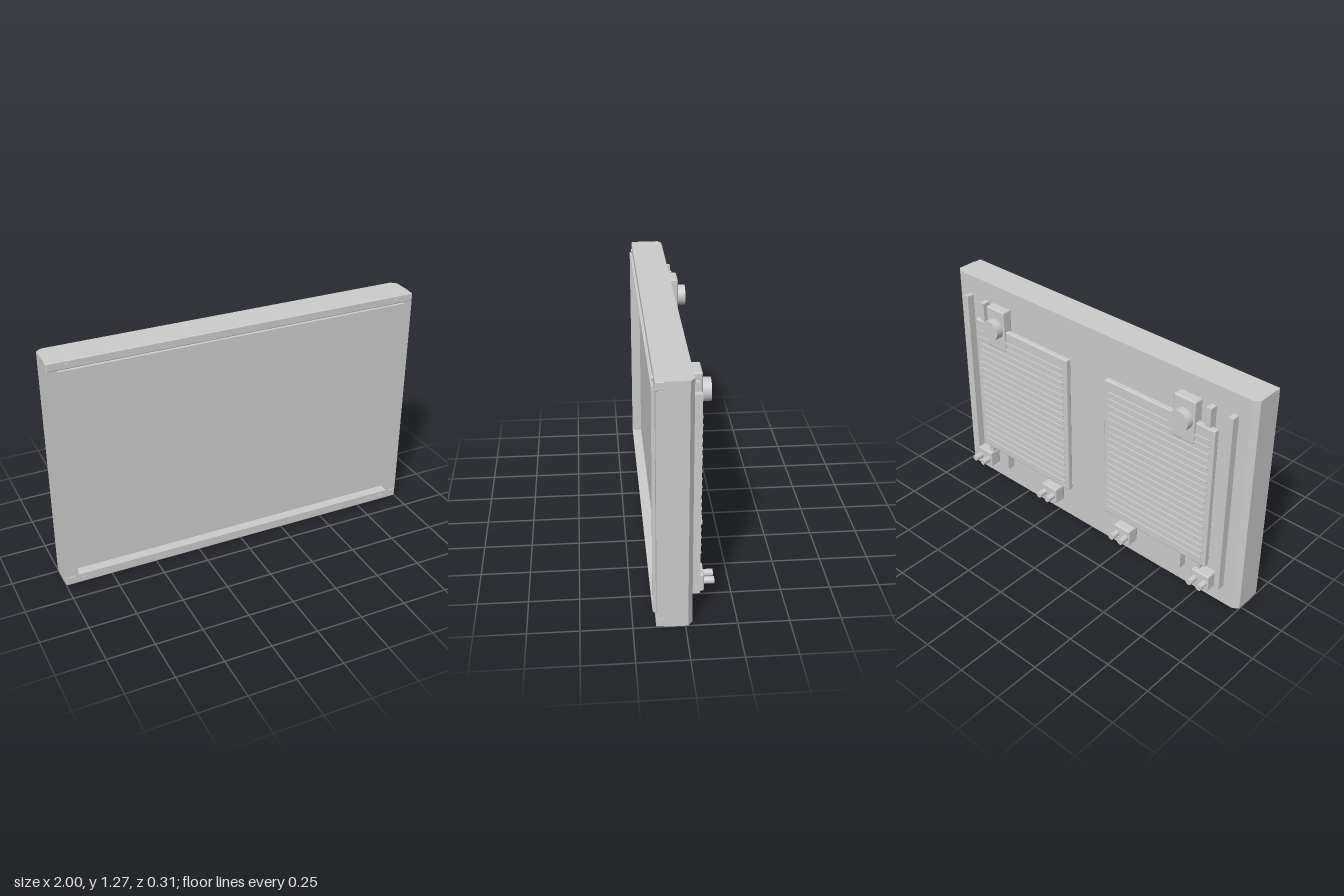
import * as THREE from 'three';
import { RoundedBoxGeometry } from 'three/addons/geometries/RoundedBoxGeometry.js';

const H = 1.275, BACK = -0.035, FRONT = 0.137, SCREEN = 0.1;

export function createModel() {
  const root = new THREE.Group();
  root.name = 'flatDisplay';
  const grey = new THREE.MeshStandardMaterial({ color: 0xcccccc });

  const add = (name, geo, parent = root) => {
    const m = new THREE.Mesh(geo, grey);
    m.name = name;
    parent.add(m);
    return m;
  };
  // box from its extents, with optional rounded edges
  const block = (name, [x0, x1], [y0, y1], [z0, z1], r = 0, parent = root) => {
    const s = [x1 - x0, y1 - y0, z1 - z0];
    const geo = r ? new RoundedBoxGeometry(...s, 2, r) : new THREE.BoxGeometry(...s);
    const m = add(name, geo, parent);
    m.position.set((x0 + x1) / 2, (y0 + y1) / 2, (z0 + z1) / 2);
    return m;
  };
  // cylinder along z
  const peg = (name, x, y, z0, z1, r, parent = root, sides = 32) => {
    const geo = new THREE.CylinderGeometry(r, r, z1 - z0, sides).rotateX(Math.PI / 2);
    const m = add(name, geo, parent);
    m.position.set(x, y, (z0 + z1) / 2);
    return m;
  };
  const rectangle = (path, x0, x1, y0, y1) => {
    path.moveTo(x0, y0);
    path.lineTo(x1, y0);
    path.lineTo(x1, y1);
    path.lineTo(x0, y1);
    path.closePath();
    return path;
  };

  // housing: plan outline with chamfered rear corners, extruded upwards
  const plan = new THREE.Shape([
    [-1, -SCREEN], [1, -SCREEN], [1, 0.013], [0.97, -BACK], [-0.97, -BACK], [-1, 0.013],
  ].map(([x, y]) => new THREE.Vector2(x, y)));
  add('housing', new THREE.ExtrudeGeometry(plan, { depth: H, bevelEnabled: false }).rotateX(-Math.PI / 2));

  // front surround: top and bottom rails, side posts
  block('topRail', [-1, 1], [1.23, H], [0.07, FRONT + 0.003], 0.006);
  block('bottomRail', [-1, 1], [0, 0.05], [0.07, FRONT + 0.003], 0.006);
  for (const s of [-1, 1]) {
    const xs = [s, s * 0.947].sort((a, b) => a - b);
    block('sidePost', xs, [0.048, 1.232], [SCREEN - 0.01, FRONT]);
  }

  // raised inner bezel around the recessed screen
  const ring = rectangle(new THREE.Shape(), -0.95, 0.945, 0.05, 1.23);
  ring.holes.push(rectangle(new THREE.Path(), -0.936, 0.931, 0.062, 1.218));
  add('screenBezel', new THREE.ExtrudeGeometry(ring, { depth: 0.153 - SCREEN + 0.005, bevelEnabled: false }))
    .position.z = SCREEN - 0.005;

  // small front fittings: screws, indicators, control strip
  for (const x of [-0.9, 0.9]) {
    for (const y of [0.024, 1.25]) peg('cornerScrew', x, y, 0.13, 0.146, 0.011, root, 16);
  }
  for (let i = 0; i < 4; i++) peg('indicator', -0.86 + i * 0.035, 0.022, 0.13, 0.142, 0.006, root, 12);
  block('controlStrip', [0.74, 0.87], [0.018, 0.024], [0.13, 0.142]);

  // slat with rounded ends
  const slatLength = 0.635, slatR = 0.007;
  const slatShape = new THREE.Shape();
  slatShape.absarc(slatLength / 2 - slatR, 0, slatR, -Math.PI / 2, Math.PI / 2);
  slatShape.absarc(-slatLength / 2 + slatR, 0, slatR, Math.PI / 2, Math.PI * 1.5);
  const slatGeo = new THREE.ExtrudeGeometry(slatShape, { depth: 0.014, bevelEnabled: false, curveSegments: 6 });

  // rear assemblies, one on each side
  for (const s of [-1, 1]) {
    const g = new THREE.Group();
    g.name = s > 0 ? 'leftRearAssembly' : 'rightRearAssembly';
    root.add(g);
    const span = (x, w) => [s * x - w / 2, s * x + w / 2];

    // vertical mounting bars
    for (const x of [0.89, 0.765, 0.64]) {
      block('mountingBar', span(x, 0.03), [0.115, 1.165], [-0.078, BACK + 0.005], 0, g);
    }
    // ribbed rear panel
    block('rearPanel', span(0.473, 0.685), [0.22, 1.06], [-0.086, -0.053], 0.007, g);
    for (let i = 0; i < 19; i++) {
      add('slat', slatGeo, g).position.set(s * 0.473, 0.27 + i * 0.0402, -0.094);
    }
    // upper clamp with round knob
    block('clampBlock', span(0.64, 0.13), [0.94, 1.18], [-0.1, BACK - 0.006], 0.009, g);
    peg('clampKnob', s * 0.64, 1.068, -0.143, -0.09, 0.057, g, 40);

    // lower terminal blocks with paired pins
    for (const x of [0.8, 0.272]) {
      block('terminalBlock', span(x, 0.11), [0.088, 0.185], [-0.103, BACK + 0.003], 0.008, g);
      for (const d of [-0.031, 0.031]) {
        peg('terminalPin', s * x + d, 0.137, -0.153, -0.095, 0.018, g, 24);
      }
    }
  }
  return root;
}
